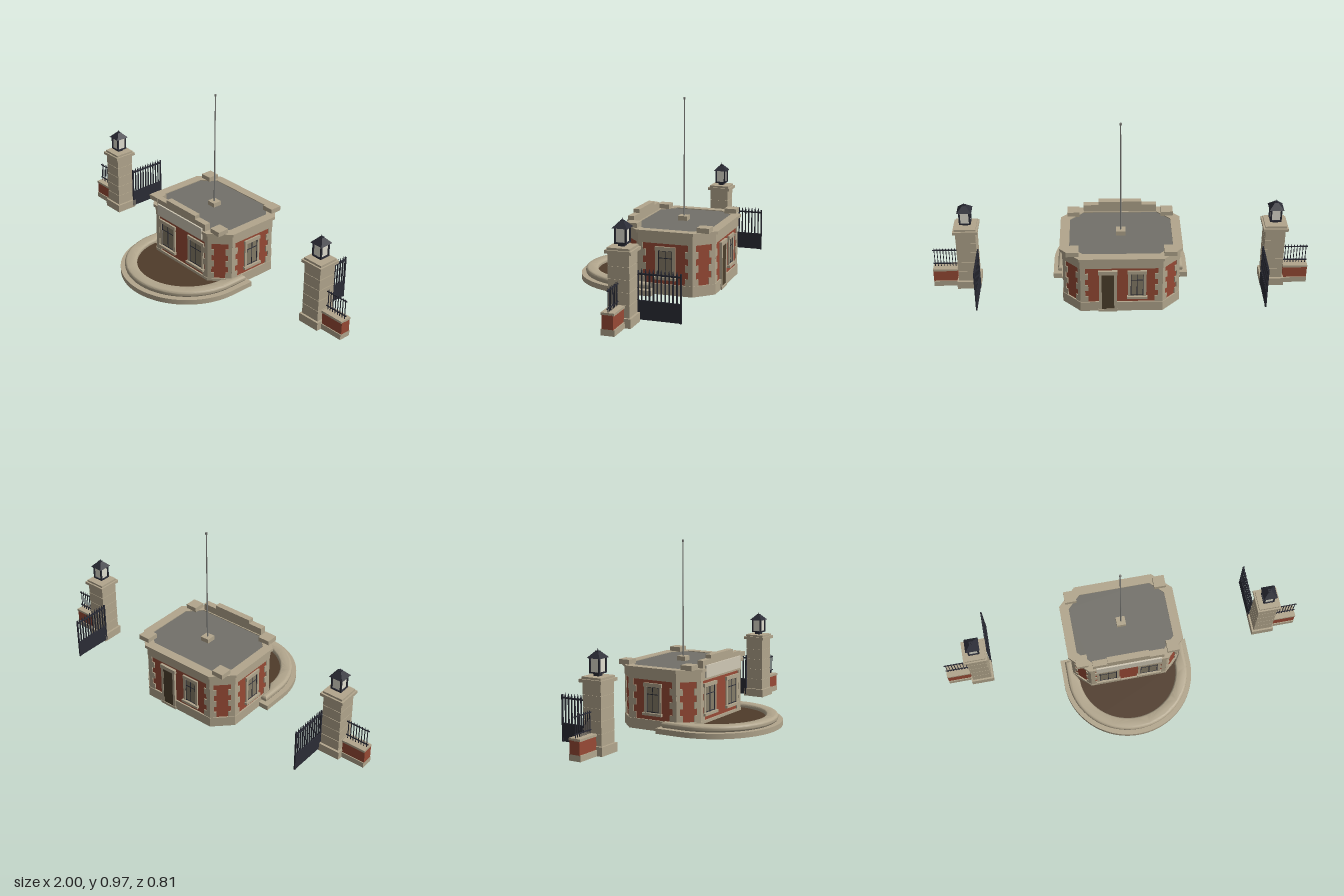
import * as THREE from 'three';
import { toCreasedNormals } from 'three/addons/utils/BufferGeometryUtils.js';

const material = (name, color) => {
  const m = new THREE.MeshStandardMaterial({ color });
  m.name = name;
  return m;
};

export function createModel() {
  const root = new THREE.Group();
  root.name = 'gatehouse';
  const stone = material('stone', 0xb2a68d);
  const paleStone = material('paleStone', 0xd0c8b5);
  const brick = material('brick', 0x984a35);
  const iron = material('iron', 0x2b2c36);
  const slate = material('roofGrey', 0x73716a);
  const earth = material('earth', 0x4f3b2a);
  const pane = material('windowPane', 0x857c68);
  const doorWood = material('doorWood', 0x4c3f2c);
  const lampGlass = material('lampGlass', 0xe0ded0);
  const poleGrey = material('poleGrey', 0x80807c);

  const group = (parent, name, x = 0, y = 0, z = 0) => {
    const g = new THREE.Group();
    g.name = name;
    g.position.set(x, y, z);
    parent.add(g);
    return g;
  };
  const add = (parent, name, geo, mat, x = 0, y = 0, z = 0) => {
    const m = new THREE.Mesh(geo, mat);
    m.name = name;
    m.position.set(x, y, z);
    parent.add(m);
  };
  // box standing between heights y0 and y1
  const box = (parent, name, mat, w, y0, y1, d, x = 0, z = 0) =>
    add(parent, name, new THREE.BoxGeometry(w, y1 - y0, d), mat, x, (y0 + y1) / 2, z);
  // plan outline (x, -z) raised from y0 to y1
  const raise = (parent, name, mat, shape, y0, y1, bevel = 0) => {
    const geo = new THREE.ExtrudeGeometry(shape, {
      depth: y1 - y0 - 2 * bevel, curveSegments: 40, bevelEnabled: bevel > 0,
      bevelThickness: bevel, bevelSize: bevel, bevelOffset: -bevel, bevelSegments: 4,
    });
    geo.translate(0, 0, bevel).rotateX(-Math.PI / 2);
    add(parent, name, toCreasedNormals(geo, 0.6), mat, 0, y0, 0);
  };

  // chamfered plan of the lodge, offset outwards by d
  const octagon = (d) => {
    const w = 0.297 + d, f = 0.075 + d, b = -0.385 - d, c = 0.088 + 0.586 * d;
    return [[w, b + c], [w, f - c], [w - c, f], [c - w, f], [-w, f - c], [-w, b + c], [c - w, b], [w - c, b]];
  };
  // counter-clockwise outline, so that holes get inward walls
  const plan = (pts) => pts.map(([x, z]) => new THREE.Vector2(x, -z)).reverse();
  const octRing = (outer, inner) => {
    const s = new THREE.Shape(plan(octagon(outer)));
    if (inner !== undefined) s.holes.push(new THREE.Path(plan(octagon(inner))));
    return s;
  };

  // ---- Lodge shell
  const lodge = group(root, 'lodge');
  raise(lodge, 'plinth', stone, octRing(0.008, -0.022), 0, 0.055);
  raise(lodge, 'brickWalls', brick, octRing(0, -0.02), 0.03, 0.27);
  raise(lodge, 'frieze', stone, octRing(0.008, -0.025), 0.265, 0.316);
  raise(lodge, 'cornice', stone, octRing(0.02, -0.03), 0.314, 0.33);
  raise(lodge, 'roof', slate, octRing(-0.02), 0.3, 0.326);
  for (const x of [-0.25, 0.25]) for (const z of [-0.345, 0.035])
    box(lodge, 'cornerBlock', stone, 0.065, 0.328, 0.354, 0.065, x, z);
  box(lodge, 'frontParapet', stone, 0.39, 0.32, 0.37, 0.034, 0, 0.068);
  box(lodge, 'parapetCrest', stone, 0.23, 0.37, 0.39, 0.034, 0, 0.068);
  box(lodge, 'blankPanel', paleStone, 0.36, 0.28, 0.345, 0.009, 0, 0.0925);

  const addWindow = (wall, x, w) => {
    const g = group(wall, 'window', x);
    const y0 = 0.09, y1 = 0.232;
    box(g, 'pane', pane, w, y0, y1, 0.006);
    for (const s of [-1, 1]) {
      box(g, 'jamb', stone, 0.014, y0, y1, 0.016, s * (w / 2 + 0.005));
      box(g, 'sashSide', iron, 0.004, y0, y1, 0.009, s * (w / 2 - 0.004));
    }
    box(g, 'lintel', stone, w + 0.028, y1 - 0.004, y1 + 0.016, 0.02);
    box(g, 'sill', stone, w + 0.036, y0 - 0.012, y0 + 0.002, 0.032);
    box(g, 'mullion', iron, 0.004, y0, y1, 0.009);
    for (const y of [y0 + 0.004, y1 - 0.045, y1 - 0.007])
      box(g, 'sashBar', iron, w, y, y + 0.004, 0.009);
  };
  const addDoor = (wall, x) => {
    const g = group(wall, 'door', x);
    box(g, 'doorLeaf', doorWood, 0.066, 0.012, 0.232, 0.022);
    for (const s of [-1, 1]) box(g, 'doorJamb', stone, 0.014, 0, 0.232, 0.026, s * 0.039);
    box(g, 'doorLintel', stone, 0.1, 0.228, 0.25, 0.028);
    box(g, 'doorStep', stone, 0.1, 0, 0.014, 0.03);
  };

  // ---- Eight wall faces: quoins at both ends, openings on the long ones
  const corners = octagon(0);
  corners.forEach(([ax, az], i) => {
    const [bx, bz] = corners[(i + 1) % 8];
    const length = Math.hypot(bx - ax, bz - az);
    const wall = group(lodge, 'wallFace', (ax + bx) / 2, 0, (az + bz) / 2);
    wall.rotation.y = Math.atan2(bz - az, ax - bx);
    const [short, long] = i % 2 ? [0.02, 0.034] : [0.024, 0.04];
    for (const s of [-1, 1]) for (let k = 0; k < 6; k++) {
      const w = k % 2 ? short : long, y = 0.055 + k * 0.035;
      box(wall, 'quoin', stone, w, y, y + 0.035, 0.01, s * (length / 2 - w / 2 + 0.002));
    }
    if (i === 0 || i === 4) addWindow(wall, 0, 0.08);
    if (i === 2) for (const x of [-0.115, 0.115]) addWindow(wall, x, 0.1);
    if (i === 6) {
      addDoor(wall, -0.07);
      addWindow(wall, 0.08, 0.07);
    }
  });

  // ---- Flagpole
  const flagpole = group(root, 'flagpole', 0, 0, -0.155);
  box(flagpole, 'poleBase', stone, 0.05, 0.322, 0.35, 0.05);
  add(flagpole, 'pole', new THREE.CylinderGeometry(0.0026, 0.004, 0.62, 8), poleGrey, 0, 0.655, 0);
  add(flagpole, 'finial', new THREE.CylinderGeometry(0.006, 0.006, 0.011, 8), poleGrey, 0, 0.966, 0);

  // ---- Horseshoe planting bed
  const bed = group(root, 'plantingBed');
  const horseshoe = (r, inner, end = -0.1) => {
    const s = new THREE.Shape();
    s.moveTo(r, -end);
    s.lineTo(r, -0.04);
    s.absarc(0, -0.04, r, 0, -Math.PI, true);
    s.lineTo(-r, -end);
    s.lineTo(-0.302, -end);
    s.lineTo(-0.302, 0.01);
    if (inner) {
      s.lineTo(-inner, -0.04);
      s.absarc(0, -0.04, inner, -Math.PI, 0, false);
    } else {
      s.lineTo(-0.212, -0.08);
      s.lineTo(0.212, -0.08);
    }
    s.lineTo(0.302, 0.01);
    s.lineTo(0.302, -end);
    return s;
  };
  // soil inside the kerb, against the lodge front
  const soil = new THREE.Shape();
  soil.moveTo(0.28, -0.04);
  soil.absarc(0, -0.04, 0.28, 0, -Math.PI, true);
  soil.lineTo(-0.262, -0.04);
  soil.lineTo(-0.212, -0.08);
  soil.lineTo(0.212, -0.08);
  soil.lineTo(0.262, -0.04);
  raise(bed, 'soilBase', earth, horseshoe(0.352, 0, -0.096), 0, 0.02);
  raise(bed, 'soil', earth, soil, 0.015, 0.04);
  raise(bed, 'lowerKerb', stone, horseshoe(0.362, 0.275), 0.002, 0.03);
  raise(bed, 'roundedKerb', stone, horseshoe(0.338, 0.272, -0.08), 0.028, 0.062, 0.014);

  // ---- Gate piers, mirrored left and right
  for (const side of [1, -1]) {
    const pier = group(root, side > 0 ? 'leftGatePier' : 'rightGatePier', side * 0.81, 0, -0.125);
    box(pier, 'pierBase', stone, 0.124, 0, 0.045, 0.124);
    box(pier, 'pierCore', stone, 0.1, 0.04, 0.35, 0.1);
    for (let k = 0; k < 5; k++)
      box(pier, 'pierBlock', stone, 0.105, 0.047 + k * 0.06, 0.104 + k * 0.06, 0.105);
    box(pier, 'capLower', stone, 0.13, 0.344, 0.36, 0.13);
    box(pier, 'capUpper', stone, 0.112, 0.36, 0.371, 0.112);

    const lantern = group(pier, 'lantern');
    box(lantern, 'lanternNeck', iron, 0.03, 0.37, 0.388, 0.03);
    box(lantern, 'lanternFloor', iron, 0.06, 0.384, 0.391, 0.06);
    box(lantern, 'lanternGlass', lampGlass, 0.048, 0.39, 0.457, 0.048);
    for (const x of [-0.026, 0.026]) for (const z of [-0.026, 0.026])
      box(lantern, 'lanternPost', iron, 0.008, 0.388, 0.459, 0.008, x, z);
    const hood = new THREE.CylinderGeometry(0.014, 0.054, 0.03, 4).toNonIndexed();
    hood.rotateY(Math.PI / 4).computeVertexNormals();
    add(lantern, 'lanternHood', hood, iron, 0, 0.472, 0);
    box(lantern, 'lanternTop', iron, 0.018, 0.484, 0.49, 0.018);
    add(lantern, 'lanternFinial', new THREE.ConeGeometry(0.005, 0.016, 8), iron, 0, 0.495, 0);

    // low wall with railing, running outwards
    const fence = group(pier, 'lowWall', side * 0.125);
    box(fence, 'wallFoot', stone, 0.13, 0, 0.03, 0.066);
    box(fence, 'wallBrick', brick, 0.13, 0.025, 0.097, 0.056);
    box(fence, 'wallCoping', stone, 0.13, 0.095, 0.107, 0.066);
    for (const y of [0.122, 0.205]) box(fence, 'rail', iron, 0.13, y, y + 0.005, 0.005);
    for (let k = 0; k < 8; k++) {
      const x = -0.055 + k * 0.0157;
      box(fence, 'railBar', iron, 0.0035, 0.105, 0.212, 0.0035, x);
      add(fence, 'railSpike', new THREE.ConeGeometry(0.003, 0.012, 4), iron, x, 0.217, 0);
    }

    // open gate leaf, swung back
    const gate = group(pier, 'gateLeaf', -side * 0.059);
    const mid = -0.157;
    box(gate, 'gatePanel', iron, 0.006, 0.01, 0.1, 0.215, 0, mid);
    for (const y of [0.095, 0.225]) box(gate, 'gateRail', iron, 0.008, y, y + 0.008, 0.215, 0, mid);
    for (const z of [-0.052, -0.262]) box(gate, 'gateStile', iron, 0.008, 0.008, 0.245, 0.007, 0, z);
    for (let k = 1; k < 11; k++) {
      const z = -0.052 - k * 0.0191;
      box(gate, 'gateBar', iron, 0.006, 0.1, 0.24, 0.006, 0, z);
      add(gate, 'gateSpike', new THREE.ConeGeometry(0.005, 0.018, 4), iron, 0, 0.248, z);
    }
  }
  return root;
}
